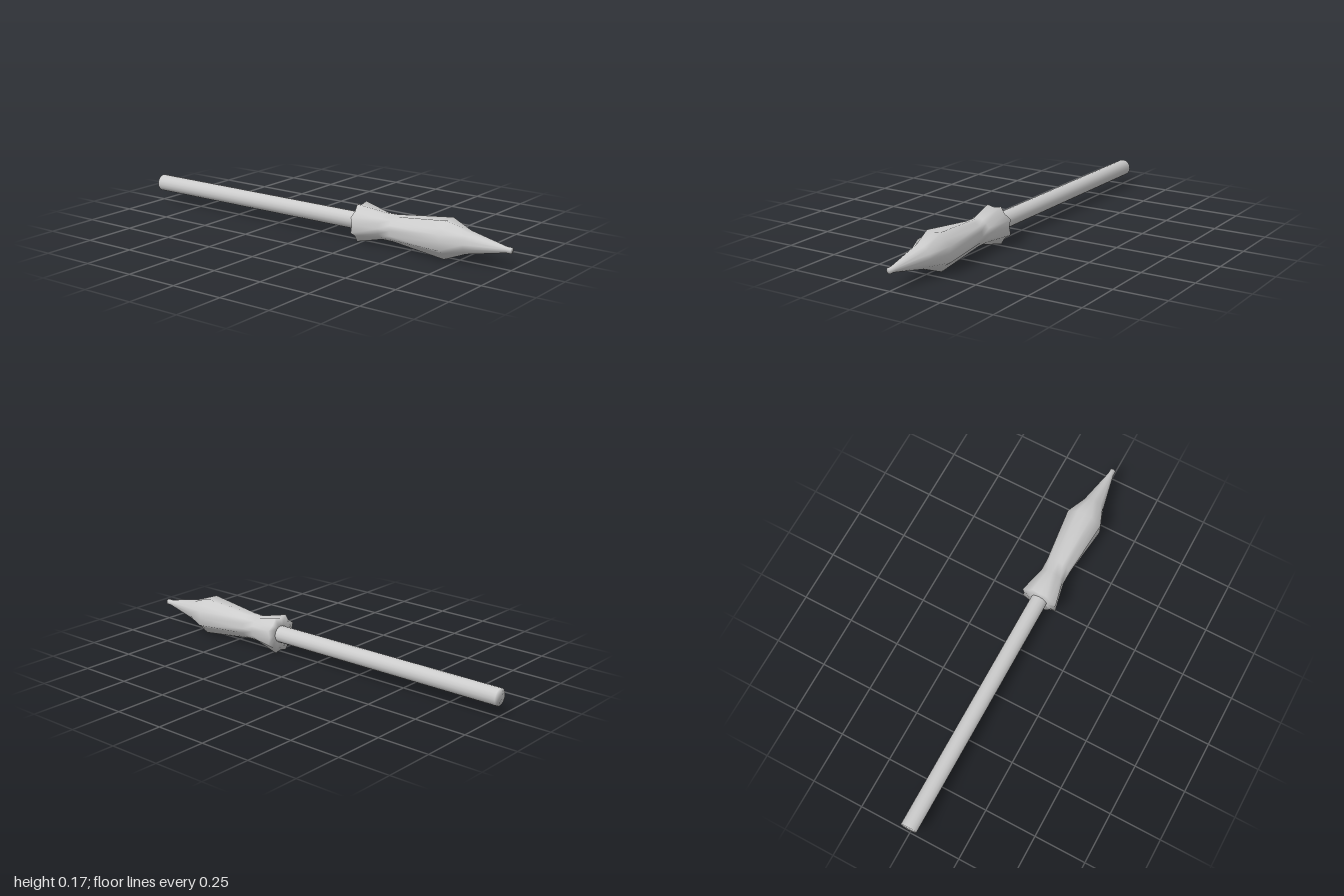
import * as THREE from 'three';
import { mergeVertices } from 'three/addons/utils/BufferGeometryUtils.js';

const AXIS_Y = 0.0875;
const SIDES = 16;

// Turns a [radius, z, valleyRadius?] profile around the long axis, listed from
// back to front. A valley radius pulls every other vertex of that ring inward.
function turned(name, profile) {
  const points = profile.map(([r, z]) => new THREE.Vector2(r, z));
  let geo = new THREE.LatheGeometry(points, SIDES);
  const pos = geo.attributes.position;
  for (let i = 0; i < pos.count; i++) {
    const ring = i % profile.length;
    const side = Math.floor(i / profile.length);
    const [r, , valley] = profile[ring];
    if (valley && side % 2 === 0) {
      pos.setXYZ(i, pos.getX(i) * valley / r, pos.getY(i), pos.getZ(i) * valley / r);
    }
  }
  // Weld the seam and the poles so the normals run smoothly over the edges
  geo.deleteAttribute('uv');
  geo.deleteAttribute('normal');
  geo = mergeVertices(geo, 1e-5);
  geo.computeVertexNormals();
  geo.rotateX(Math.PI / 2);
  const mesh = new THREE.Mesh(geo, new THREE.MeshStandardMaterial({ color: 0xcccccc }));
  mesh.name = name;
  mesh.position.y = AXIS_Y;
  return mesh;
}

export function createModel() {
  const group = new THREE.Group();
  group.name = 'rocket';

  // Straight tube with a closed back end
  group.add(turned('shaft', [[0, -1], [0.04, -1], [0.04, 0.24]]));

  // Fluted head: flared back rim, narrow neck, wide shoulder, slim nose
  group.add(turned('head', [
    [0.04, 0.23],
    [0.0945, 0.23, 0.079],
    [0.062, 0.36],
    [0.063, 0.42],
    [0.0945, 0.69, 0.079],
    [0.053, 0.79],
    [0.014, 0.975],
    [0.014, 1],
    [0, 1],
  ]));

  return group;
}
